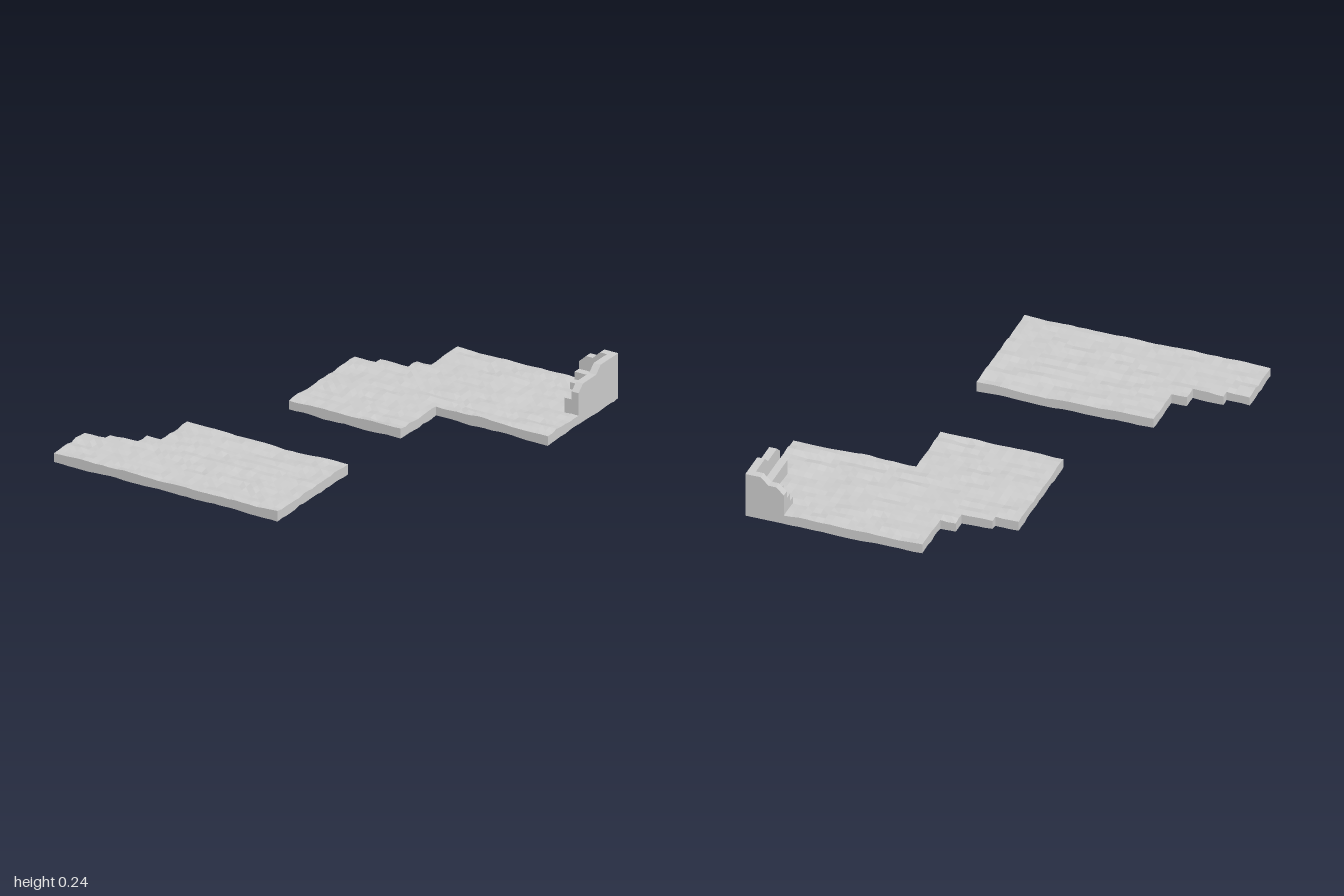
import * as THREE from 'three';

const C = 1 / 26; // size of one grid cell
const mat = new THREE.MeshStandardMaterial({ color: 0xcccccc, flatShading: true });

// Repeatable hash in 0..1
function hash(i, j, k) {
  const s = Math.sin(i * 127.1 + j * 311.7 + k * 74.7) * 43758.5453;
  return s - Math.floor(s);
}

// Roughness that runs in long streaks along x and changes from row to row
function streak(i, j, k) {
  const t = (i + hash(j, 7, k) * 3) / 3;
  const a = Math.floor(t);
  const f = t - a;
  const long = hash(a, j, k) * (1 - f) + hash(a + 1, j, k) * f;
  return 0.75 * long + 0.25 * hash(i, j, k + 5);
}
const topY = (i, j) => 0.044 + 0.016 * streak(i, j, 1);
const bottomY = (i, j) => Math.max(0, 0.014 * streak(i, j, 2) - 0.003);

// Broken slab: rects are [x0, x1, z0, z1] in whole cells
function makeSlab(name, rects) {
  const inside = (i, j) => rects.some(([a, b, c, d]) => i >= a && i < b && j >= c && j < d);
  const pos = [];
  const quad = (a, b, c, d) => pos.push(...a, ...b, ...c, ...a, ...c, ...d);
  const top = (i, j) => [i * C, topY(i, j), j * C];
  const low = (i, j) => [i * C, bottomY(i, j), j * C];
  const side = (i0, j0, i1, j1) => quad(low(i0, j0), low(i1, j1), top(i1, j1), top(i0, j0));

  for (let i = -24; i < 24; i++) {
    for (let j = -26; j < 26; j++) {
      if (!inside(i, j)) continue;
      quad(top(i, j), top(i, j + 1), top(i + 1, j + 1), top(i + 1, j));
      quad(low(i, j), low(i + 1, j), low(i + 1, j + 1), low(i, j + 1));
      // Straight edges wherever the neighbouring cell is missing
      if (!inside(i, j + 1)) side(i, j + 1, i + 1, j + 1);
      if (!inside(i, j - 1)) side(i + 1, j, i, j);
      if (!inside(i + 1, j)) side(i + 1, j + 1, i + 1, j);
      if (!inside(i - 1, j)) side(i, j, i, j + 1);
    }
  }
  const geo = new THREE.BufferGeometry();
  geo.setAttribute('position', new THREE.Float32BufferAttribute(pos, 3));
  geo.computeVertexNormals();
  const mesh = new THREE.Mesh(geo, mat);
  mesh.name = name;
  return mesh;
}

// Upright wall one cell thick; profile is [distance from corner in cells, height]
function makeWall(name, profile) {
  const pts = [[0, 0.005], ...profile, [profile[profile.length - 1][0], 0.005]];
  const shape = new THREE.Shape(pts.map(([d, y]) => new THREE.Vector2(-d * C, y)));
  const geo = new THREE.ExtrudeGeometry(shape, { depth: C, bevelEnabled: false });
  const mesh = new THREE.Mesh(geo, mat);
  mesh.name = name;
  return mesh;
}

// Stepped ledge block: x0, x1, z0, z1 in cells, with its top height
function makeLedge(name, x0, x1, z0, z1, height) {
  const base = 0.02;
  const geo = new THREE.BoxGeometry((x1 - x0) * C, height - base, (z1 - z0) * C);
  geo.translate((x0 + x1) * C / 2, (height + base) / 2, (z0 + z1) * C / 2);
  const mesh = new THREE.Mesh(geo, mat);
  mesh.name = name;
  return mesh;
}

export function createModel() {
  const model = new THREE.Group();
  model.name = 'ruinedFloor';

  model.add(makeSlab('frontSlab', [
    [-15, 8, 10, 26], [-17, -15, 16, 26], [-21, -17, 18, 26], [-24, -21, 19, 26],
  ]));
  model.add(makeSlab('backSlab', [
    [1, 24, -26, -10], [-8, 8, -17, -2], [-5, 1, -18, -17], [-1, 1, -20, -18],
  ]));

  // Broken corner wall
  const corner = new THREE.Group();
  corner.name = 'cornerWall';
  const backWall = makeWall('backWall',
    [[0, 0.236], [2, 0.236], [3, 0.198], [4, 0.198], [5, 0.162]]);
  backWall.position.set(24 * C, 0, -26 * C);
  const sideWall = makeWall('sideWall',
    [[0, 0.236], [4, 0.236], [5, 0.2], [8, 0.2], [9, 0.165]]);
  sideWall.rotation.y = Math.PI / 2;
  sideWall.position.set(23 * C, 0, -26 * C);
  corner.add(backWall, sideWall);

  // Ledges stepping down inside the corner
  corner.add(
    makeLedge('backUpperLedge', 19, 23, -25, -24, 0.124),
    makeLedge('sideUpperLedge', 22, 23, -24, -17, 0.124),
    makeLedge('backLowerLedge', 19, 22, -24, -23, 0.085),
    makeLedge('sideLowerLedge', 21, 22, -23, -21, 0.085),
  );
  model.add(corner);
  return model;
}
